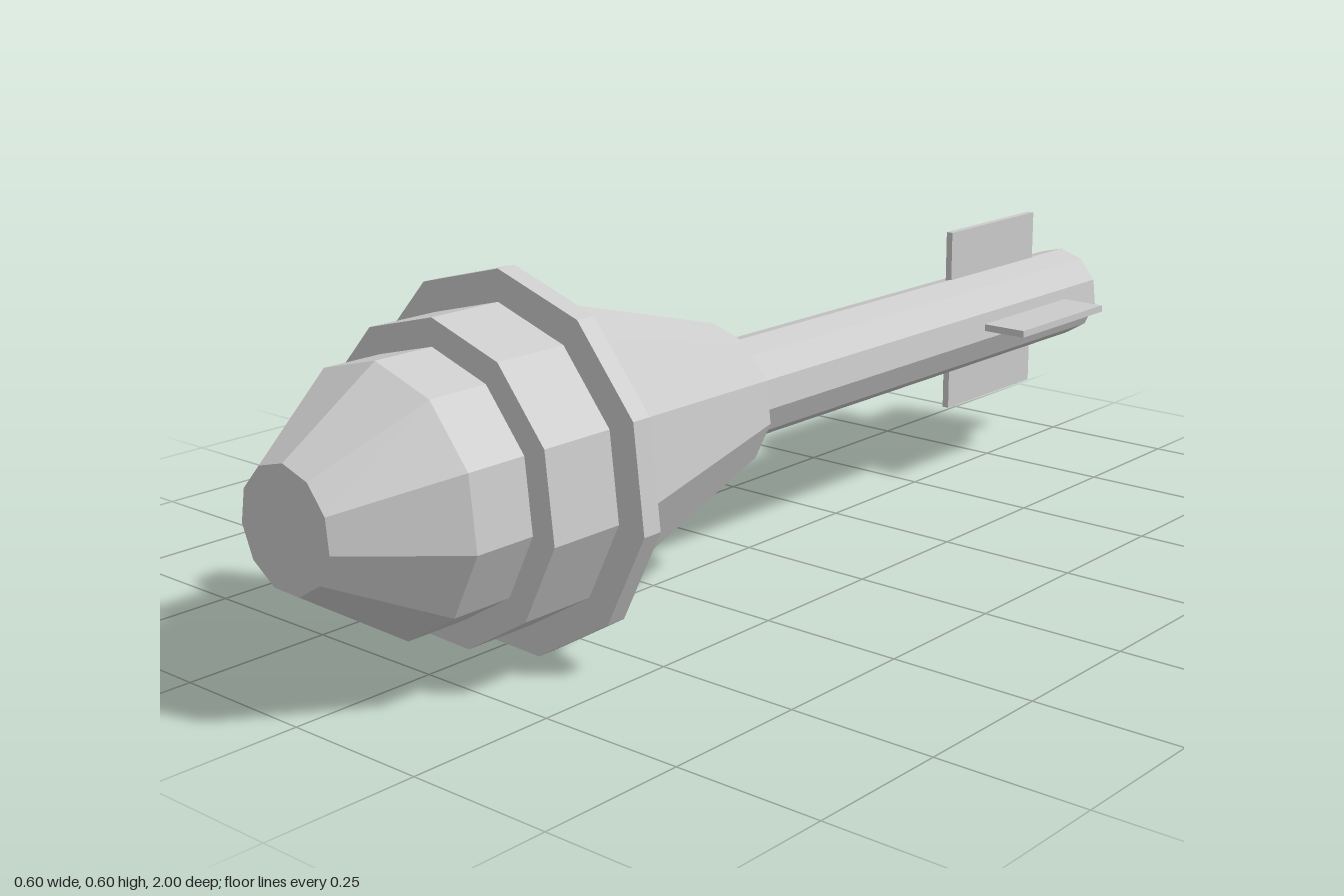
import * as THREE from 'three';

const SIDES = 11;
const AXIS_Y = 0.296; // height of the long axis
const TWIST = 0.033; // slight roll of the facets

export function createModel() {
  const model = new THREE.Group();
  const material = new THREE.MeshStandardMaterial({ color: 0xcccccc, flatShading: true });

  // Faceted solid turned about the z axis; profile is [radius, z] from back to front
  function turned(name, profile) {
    const points = profile.map(([r, z]) => new THREE.Vector2(r, z));
    const geometry = new THREE.LatheGeometry(points, SIDES, Math.PI - TWIST);
    geometry.rotateX(Math.PI / 2);
    const mesh = new THREE.Mesh(geometry, material);
    mesh.name = name;
    mesh.position.y = AXIS_Y;
    model.add(mesh);
  }

  // Tail tube
  turned('shaft', [[0, -1], [0.089, -1], [0.089, 0.09]]);

  // Rear cone with a small chamfer around the shaft
  turned('rearCone', [[0, 0.082], [0.11, 0.082], [0.13, 0.097], [0.255, 0.56]]);

  // Wide thin flange
  turned('flange', [[0, 0.558], [0.305, 0.558], [0.305, 0.593], [0, 0.593]]);

  // Stepped collar in front of the flange
  turned('collar', [[0.254, 0.593], [0.254, 0.725], [0, 0.725]]);

  // Nose with a tapered, blunt tip
  turned('nose', [[0.21, 0.725], [0.21, 0.832], [0.097, 1], [0, 1]]);

  // Four tail fins around the shaft
  const fins = new THREE.Group();
  fins.name = 'tailFins';
  fins.position.set(-0.002, 0.303, -0.743);
  const finGeometry = new THREE.BoxGeometry(0.114, 0.013, 0.285);
  finGeometry.translate(0.117, 0, 0);
  for (let i = 0; i < 4; i++) {
    const fin = new THREE.Mesh(finGeometry, material);
    fin.name = 'fin';
    fin.rotation.z = (i * Math.PI) / 2;
    fins.add(fin);
  }
  model.add(fins);

  return model;
}
